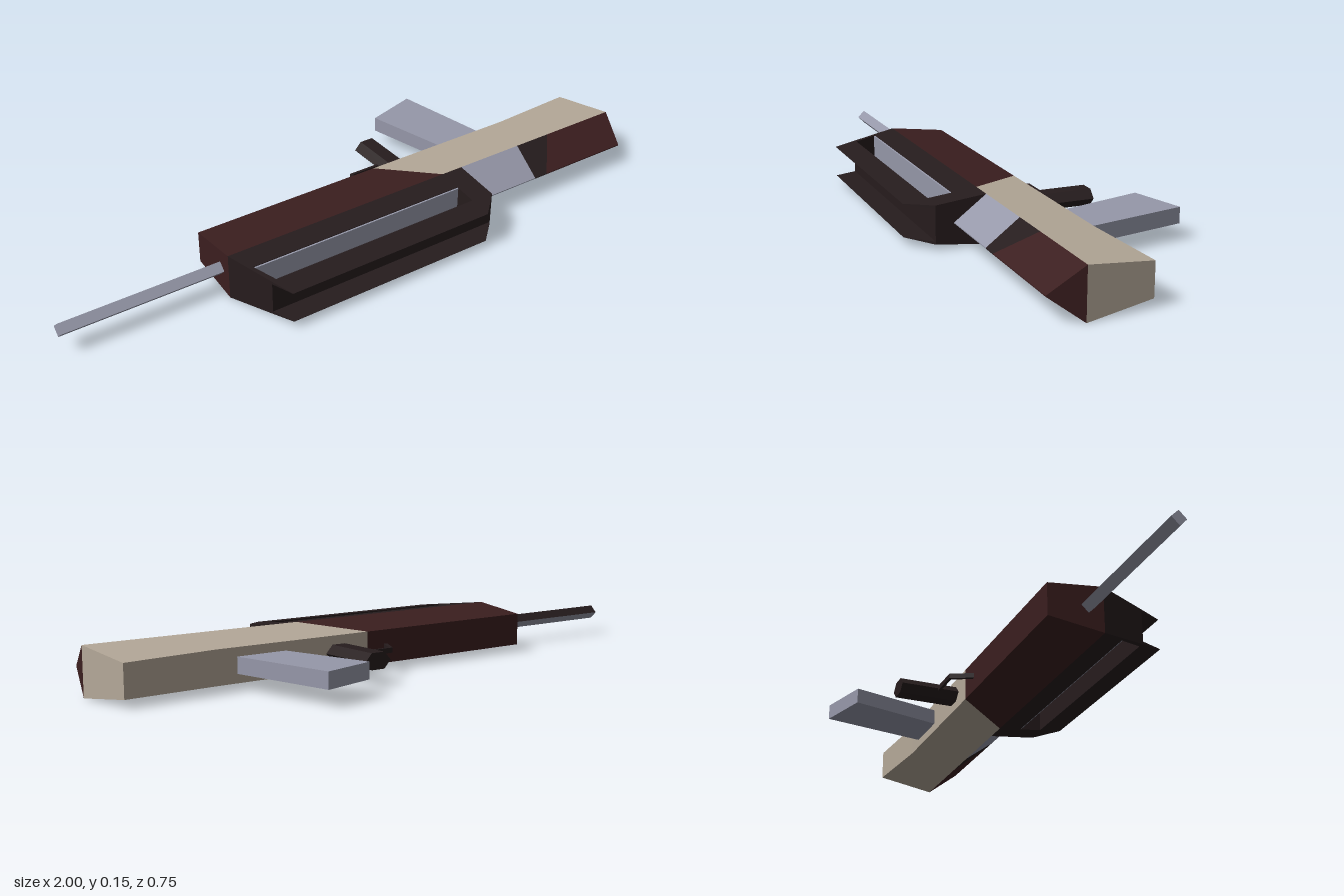
import * as THREE from 'three';

const MID = 0.075; // mid-plane height of the model lying on its side

export function createModel() {
  const group = new THREE.Group();
  const material = (name, color) => {
    const m = new THREE.MeshStandardMaterial({ color });
    m.name = name;
    return m;
  };
  const red = material('darkRed', 0x3b1e1f);
  const beige = material('beige', 0xb5a999);
  const grey = material('steelGrey', 0x9698a9);
  const dark = material('darkBrown', 0x261c1d);

  const addMesh = (name, geo, mat) => {
    const mesh = new THREE.Mesh(geo, mat);
    mesh.name = name;
    group.add(mesh);
    return mesh;
  };

  // Slab with an outline in [x, z]; bottom and top heights follow z
  const path = (pts, P) => new P(pts.map(([x, z]) => new THREE.Vector2(x, -z)));
  function slab(name, mat, pts, bottom, top, hole) {
    const shape = path(pts, THREE.Shape);
    if (hole) shape.holes.push(path(hole, THREE.Path));
    const geo = new THREE.ExtrudeGeometry(shape, { depth: 1, bevelEnabled: false });
    geo.rotateX(-Math.PI / 2);
    const p = geo.attributes.position;
    for (let i = 0; i < p.count; i++) {
      const z = p.getZ(i);
      p.setY(i, THREE.MathUtils.lerp(bottom(z), top(z), p.getY(i)));
    }
    geo.computeVertexNormals();
    addMesh(name, geo, mat);
  }
  // Slab that is symmetric about the mid-plane
  const even = (name, mat, pts, half, hole) =>
    slab(name, mat, pts, z => MID - half(z), z => MID + half(z), hole);

  const lower = z => 0.05 + (z + 0.05) * 0.125;
  const upper = z => 0.075 - (z - 0.15) / 9;
  const ridge = z => Math.max(0, 0.075 * (1 - (z - 0.15) / 0.1));

  // Main body and stock
  even('receiver', red, [[-0.49, -0.03], [0.15, -0.03], [0.29, 0.15], [-0.49, 0.15]], lower);
  even('stock', beige,
    [[0.15, -0.03], [0.68, -0.03], [0.975, -0.05], [1, 0.15], [0.29, 0.15]], lower);

  // Slotted upper frame with its two outer fins; the slot runs opposite to the outline
  even('upperFrame', dark,
    [[-0.49, 0.15], [0.365, 0.15], [0.365, 0.304], [-0.436, 0.304]], upper,
    [[-0.42, 0.3], [0.29, 0.3], [0.29, 0.225], [-0.45, 0.225]]);
  const fin = [[-0.436, 0.304], [0.365, 0.304], [0.29, 0.375], [-0.41, 0.375]];
  slab('topFin', dark, fin, () => MID + 0.049, z => MID + upper(z));
  slab('bottomFin', dark, fin, z => MID - upper(z), () => MID - 0.049);
  even('slotLining', grey,
    [[-0.448, 0.225], [0.29, 0.225], [0.29, 0.23], [-0.448, 0.23]], z => upper(z) - 0.002);

  // Ridged cover and cheek rest
  even('ridgeCover', grey, [[0.365, 0.15], [0.6, 0.15], [0.6, 0.248], [0.365, 0.248]], ridge);
  even('cheekFront', dark, [[0.6, 0.15], [0.73, 0.15], [0.65, 0.248], [0.6, 0.248]], ridge);
  even('cheekRest', red, [[0.73, 0.15], [1, 0.15], [0.975, 0.248], [0.65, 0.248]], ridge);

  // Magazine and guard
  even('magazine', grey,
    [[0.37, -0.33], [0.545, -0.38], [0.615, -0.025], [0.45, -0.025]], () => 0.025);
  even('triggerGuard', dark, [[0.07, -0.025], [0.108, -0.102], [0.215, -0.102],
    [0.215, -0.093], [0.115, -0.093], [0.083, -0.025]], () => 0.008);

  // Six-sided grip, pointed to both sides
  const gripGeo = new THREE.CylinderGeometry(1, 1, 0.2, 6).toNonIndexed();
  gripGeo.rotateX(Math.PI / 2).rotateZ(Math.PI / 2).scale(0.046, 0.029, 1);
  gripGeo.computeVertexNormals();
  addMesh('grip', gripGeo, dark).position.set(0.259, MID, -0.125);

  // Diamond barrel, its upper rear face dark
  const R = 0.023;
  const barrelGeo = new THREE.CylinderGeometry(R, R, 0.51, 4, 1).toNonIndexed();
  barrelGeo.rotateZ(Math.PI / 2);
  barrelGeo.computeVertexNormals();
  const n = barrelGeo.attributes.normal;
  barrelGeo.clearGroups();
  for (let i = 0; i < n.count; i += 3) {
    const rearTop = n.getY(i) > 0.3 && n.getZ(i) < -0.3;
    barrelGeo.addGroup(i, 3, rearTop ? 1 : 0);
  }
  addMesh('barrel', barrelGeo, [grey, dark]).position.set(-0.745, 0.078, 0.1);

  return group;
}
